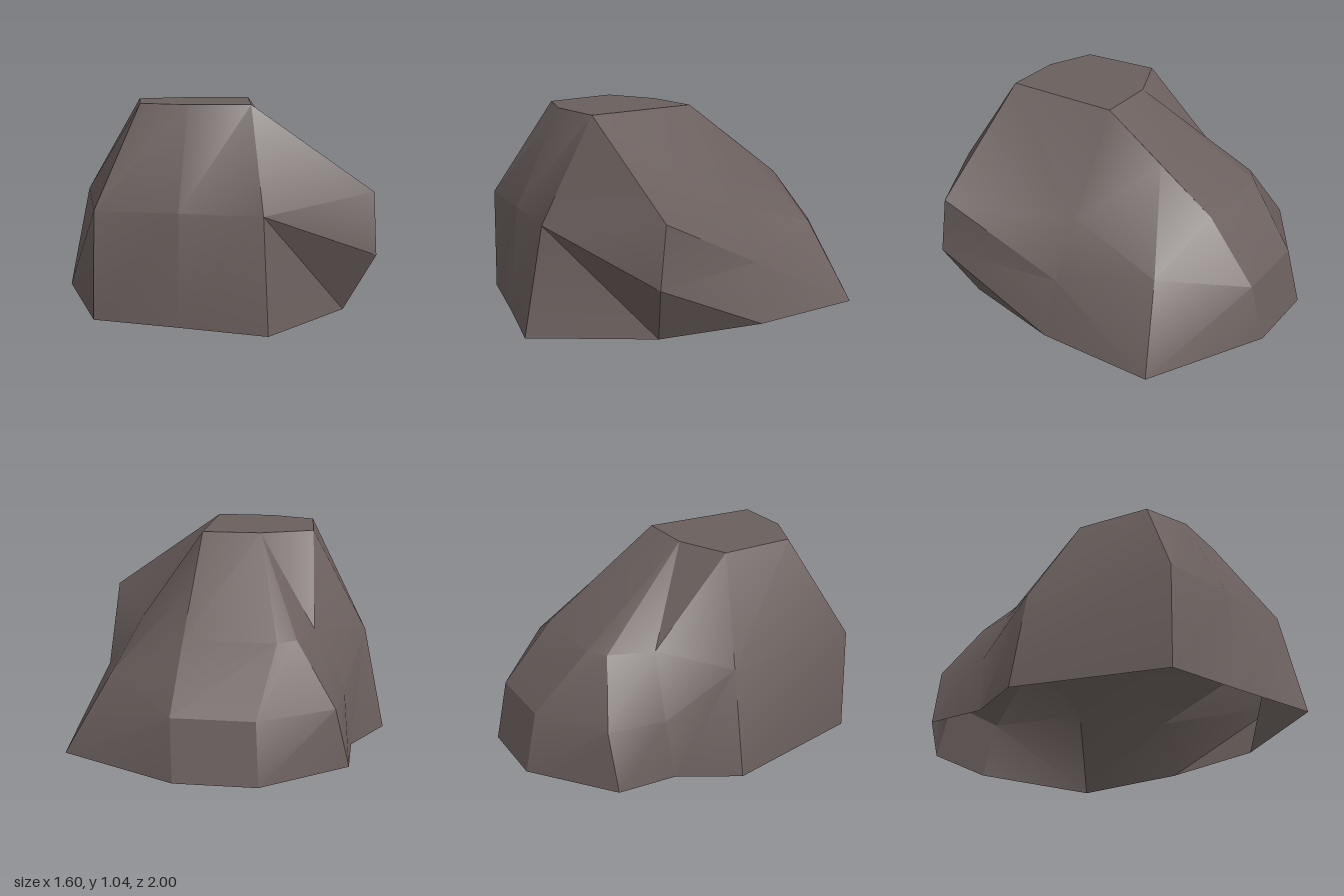
import * as THREE from 'three';
import { toCreasedNormals } from 'three/addons/utils/BufferGeometryUtils.js';

// corners of the flat summit
const topFrontRight = [0.18, 1.04, 0.55];
const topFront = [-0.13, 1.04, 0.55];
const topFrontLeft = [-0.37, 1.04, 0.45];
const topSide = [-0.4, 1.04, 0.055];
const topBack = [-0.13, 1.04, -0.06];
const topBackRight = [0.18, 1.04, -0.06];

// vertical ribs, clockwise seen from above; each runs summit -> shoulder -> waist -> ground.
// fold lists the rows whose quad towards the next rib creases along the other diagonal
const ribs = [
  { points: [topFrontRight, topFrontRight, [0.23, 0.54, 0.88], [0.25, 0, 1.0]] },
  { points: [topFront, topFront, [-0.17, 0.54, 0.79], [-0.17, 0, 0.845]] },
  { points: [topFrontLeft, topFrontLeft, [-0.58, 0.54, 0.7], [-0.59, 0, 0.7]] },
  { points: [topSide, topSide, [-0.69, 0.54, -0.06], [-0.8, 0, -0.07]], fold: [1] },
  { points: [topSide, [-0.44, 0.61, -0.37], [-0.6, 0.3, -0.4], [-0.64, 0, -0.37]], fold: [0] },
  { points: [topBack, [-0.37, 0.61, -0.6], [-0.57, 0.3, -0.7], [-0.64, 0, -0.68]] },
  { points: [topBack, [-0.28, 0.61, -0.67], [-0.21, 0.3, -0.93], [-0.23, 0, -1.0]] },
  { points: [topBackRight, [0.18, 0.61, -0.67], [0.2, 0.3, -0.93], [0.18, 0, -1.0]] },
  { points: [topBackRight, [0.18, 0.82, -0.37], [0.56, 0.41, -0.58], [0.79, 0, -0.68]], fold: [1, 2] },
  { points: [topBackRight, [0.51, 0.57, -0.08], [0.7, 0.3, -0.08], [0.78, 0, -0.06]], fold: [0, 1, 2] },
  { points: [topFrontRight, [0.79, 0.61, 0.55], [0.8, 0.3, 0.59], [0.65, 0, 0.49]], fold: [2] },
];

function rockGeometry() {
  const positions = [];
  const triangle = (a, b, c) => {
    if (a === b || b === c || a === c) return; // ribs may share a summit corner
    positions.push(...a, ...b, ...c);
  };

  // sides
  ribs.forEach(({ points: a, fold = [] }, i) => {
    const b = ribs[(i + 1) % ribs.length].points;
    for (let r = 0; r < 3; r++) {
      if (fold.includes(r)) {
        triangle(a[r], b[r], a[r + 1]);
        triangle(b[r], b[r + 1], a[r + 1]);
      } else {
        triangle(a[r], b[r], b[r + 1]);
        triangle(a[r], b[r + 1], a[r + 1]);
      }
    }
  });

  // summit
  const summit = [topFrontRight, topFront, topFrontLeft, topSide, topBack, topBackRight];
  for (let i = 1; i < summit.length - 1; i++) triangle(summit[0], summit[i + 1], summit[i]);

  const geometry = new THREE.BufferGeometry();
  geometry.setAttribute('position', new THREE.Float32BufferAttribute(positions, 3));
  return toCreasedNormals(geometry, 0.46);
}

export function createModel() {
  // the underside is open, so both faces show
  const stone = new THREE.MeshStandardMaterial({ color: 0x6a5f5d, side: THREE.DoubleSide });
  stone.name = 'stone';

  const rock = new THREE.Mesh(rockGeometry(), stone);
  rock.name = 'rock';

  const group = new THREE.Group();
  group.name = 'boulder';
  group.add(rock);
  return group;
}
